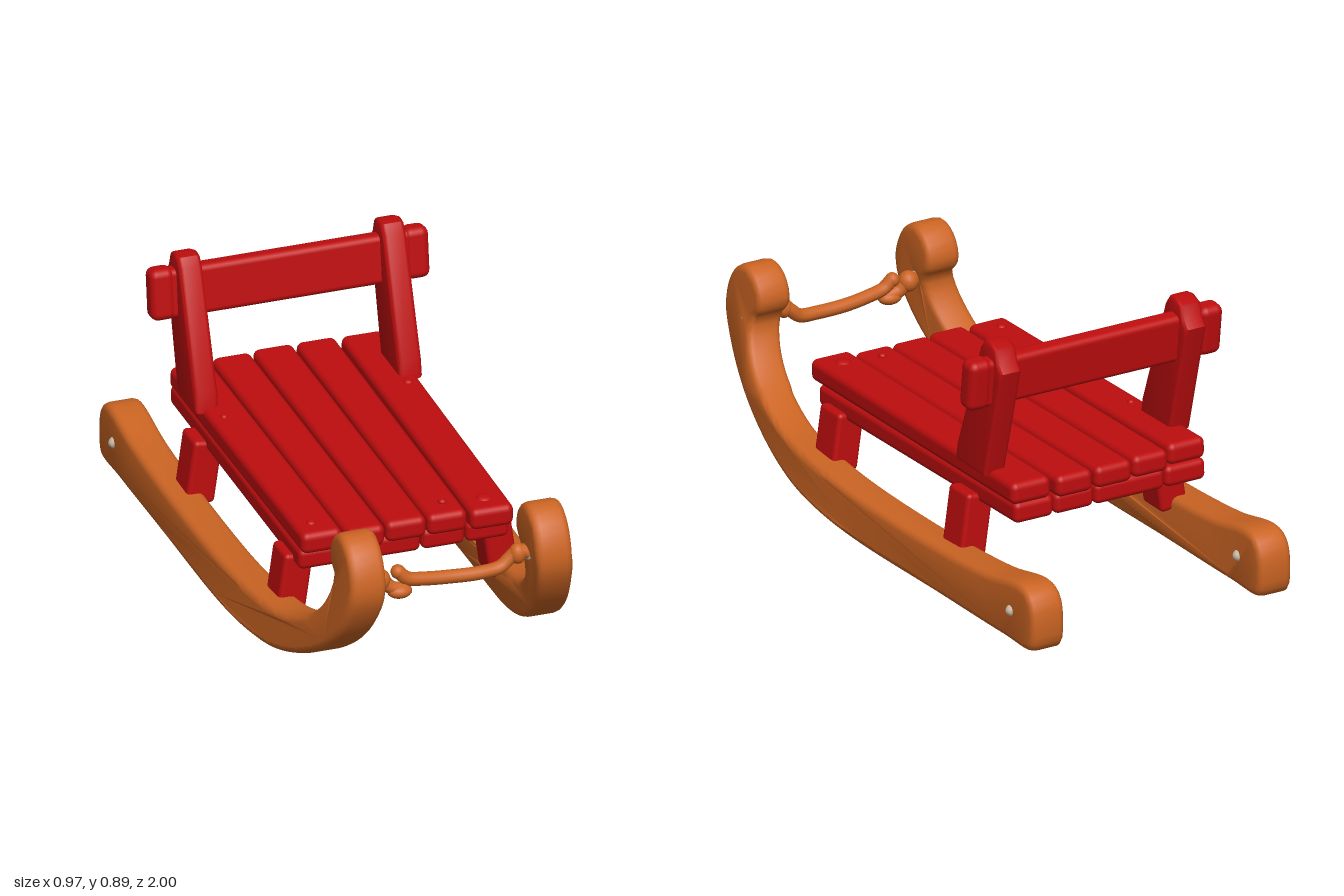
import * as THREE from 'three';
import { toCreasedNormals } from 'three/addons/utils/BufferGeometryUtils.js';
import { RoundedBoxGeometry } from 'three/addons/geometries/RoundedBoxGeometry.js';

const material = (name, color) => {
  const m = new THREE.MeshStandardMaterial({ color });
  m.name = name;
  return m;
};

export function createModel() {
  const red = material('red paint', 0xbe0d0e);
  const wood = material('orange wood', 0xcb6423);
  const metal = material('pale bolt', 0xc9b9a4);
  const model = new THREE.Group();
  model.name = 'sled';

  const add = (name, geometry, mat, parent = model) => {
    const mesh = new THREE.Mesh(geometry, mat);
    mesh.name = name;
    parent.add(mesh);
    return mesh;
  };
  const block = (name, w, h, d, x, y, z, parent = model, r = 0.02) => {
    const mesh = add(name, new RoundedBoxGeometry(w, h, d, 3, r), red, parent);
    mesh.position.set(x, y, z);
    return mesh;
  };
  const knob = (name, mat, x, y, z, sx, sy, sz, parent = model) => {
    const mesh = add(name, new THREE.SphereGeometry(1, 16, 12), mat, parent);
    mesh.position.set(x, y, z);
    mesh.scale.set(sx, sy, sz);
    return mesh;
  };

  // Side outline given as [z, y], extruded across x with a soft edge
  const sideExtrude = (points, width, bevel) => {
    const geometry = new THREE.ExtrudeGeometry(new THREE.Shape(points), {
      depth: width - 2 * bevel, bevelThickness: bevel, bevelSize: bevel,
      bevelOffset: -bevel, bevelSegments: 3, steps: 1,
    });
    geometry.translate(0, 0, bevel - width / 2);
    return geometry.rotateY(-Math.PI / 2);
  };

  // Runners: curled outline, leaning inward toward the curl
  const runnerOutline = [
    [-0.98, 0.015], [-0.8, 0.008], [-0.4, 0.005], [0, 0.0], [0.3, 0.01], [0.5, 0.04], [0.7, 0.115],
    [0.85, 0.21], [0.95, 0.32], [1.0, 0.43], [0.985, 0.52], [0.94, 0.58], [0.88, 0.603],
    [0.82, 0.575], [0.79, 0.52], [0.795, 0.475], [0.828, 0.445], [0.832, 0.41], [0.81, 0.355], [0.76, 0.295],
    [0.68, 0.24], [0.55, 0.19], [0.4, 0.17], [0, 0.155], [-0.4, 0.16], [-0.7, 0.18],
    [-0.93, 0.212], [-0.985, 0.17], [-0.995, 0.05],
  ];
  const curve = new THREE.CatmullRomCurve3(
    runnerOutline.map(([z, y]) => new THREE.Vector3(z, y, 0)), true, 'centripetal');
  const outline = curve.getSpacedPoints(180).slice(0, -1).map((p) => new THREE.Vector2(p.x, p.y));
  const runnerX = (y, z) => {
    const forward = z > 0 ? z * z : 0;
    const upward = z > 0.7 ? Math.min(y / 0.45, 1) : 0;
    return 0.41 - 0.105 * Math.max(forward, upward);
  };

  for (const side of [1, -1]) {
    const label = side > 0 ? 'left' : 'right';
    const geometry = sideExtrude(outline, 0.118, 0.022);
    const pos = geometry.attributes.position;
    for (let i = 0; i < pos.count; i++) {
      pos.setX(i, pos.getX(i) + side * runnerX(pos.getY(i), pos.getZ(i)));
    }
    add(label + 'Runner', toCreasedNormals(geometry, 0.9), wood);

    // Bolts through the tail and the curl
    knob(label + 'TailBolt', metal, side * 0.41, 0.11, -0.86, 0.074, 0.031, 0.031);
    knob(label + 'CurlBolt', metal, side * 0.306, 0.43, 0.88, 0.068, 0.029, 0.029);

    // Legs, splayed outward down to the runners
    for (const [name, x, z, top] of [['FrontLeg', 0.337, 0.365, 0.31], ['RearLeg', 0.35, -0.415, 0.33]]) {
      const leg = block(label + name, 0.095, top - 0.12, 0.118, side * x, (top + 0.12) / 2, z, model, 0.015);
      leg.rotation.z = side * 0.14;
    }

    // Backrest posts, leaning back
    const post = [[-0.375, 0.42], [-0.385, 0.48], [-0.522, 0.85], [-0.545, 0.88], [-0.575, 0.885],
      [-0.615, 0.87], [-0.63, 0.825], [-0.652, 0.8], [-0.642, 0.765], [-0.55, 0.42]];
    const postGeometry = sideExtrude(post.map((p) => new THREE.Vector2(...p)), 0.077, 0.014);
    add(label + 'BackrestPost', toCreasedNormals(postGeometry, 0.7), red).position.x = side * 0.334;
  }

  // Backrest board with slightly swollen ends
  const backrest = new THREE.Group();
  backrest.name = 'backrest';
  backrest.position.set(0, 0.753, -0.573);
  backrest.rotation.x = -0.12;
  model.add(backrest);
  block('backrestBoard', 0.9, 0.162, 0.06, 0, 0, 0, backrest);
  for (const side of [1, -1]) {
    block('backrestEnd', 0.08, 0.168, 0.072, side * 0.417, 0.003, 0, backrest, 0.025);
  }

  // Seat: upper slats over a lower layer, tilted a little
  const seat = new THREE.Group();
  seat.name = 'seat';
  seat.position.set(0, 0.394, -0.09);
  seat.rotation.x = 0.021;
  model.add(seat);
  const slats = [ // x centre, width, back z, front z, yaw
    [-0.281, 0.134, -0.68, 0.505, 0.006], [-0.141, 0.127, -0.7, 0.52, 0.002], [-0.003, 0.132, -0.71, 0.51, 0],
    [0.135, 0.129, -0.71, 0.51, -0.005], [0.279, 0.141, -0.695, 0.53, -0.012],
  ];
  slats.forEach(([x, w, back, front, yaw], i) => {
    const dip = i === 0 || i === 4 ? 0 : -0.004;
    const slat = block('seatSlat', w, 0.072, front - back, x, dip, (front + back) / 2 + 0.09, seat, 0.022);
    slat.rotation.y = yaw;
  });
  for (const [x0, x1] of [[-0.345, -0.2], [-0.196, 0.055], [0.059, 0.2], [0.204, 0.345]]) {
    block('lowerSlat', x1 - x0, 0.07, 1.17, (x0 + x1) / 2, -0.066, -0.015, seat, 0.02);
  }
  // Painted-over nail heads
  for (const [x, z, r] of [[0.27, 0.45, 0.026], [-0.29, 0.43, 0.016], [0.14, 0.43, 0.014],
    [0.31, -0.34, 0.016], [-0.305, -0.31, 0.012]]) {
    knob('nailHead', red, x, 0.034, z + 0.09, r, 0.01, r, seat);
  }

  // Rope between the curls, knotted at one end
  const ropePart = (name, points, radius) => {
    const path = new THREE.CatmullRomCurve3(points.map((p) => new THREE.Vector3(...p)));
    add(name, new THREE.TubeGeometry(path, 40, radius, 10), wood);
  };
  ropePart('rope', [[-0.168, 0.443, 0.875], [-0.14, 0.415, 0.88], [-0.08, 0.402, 0.877], [0, 0.393, 0.874],
    [0.1, 0.39, 0.876], [0.17, 0.397, 0.872], [0.205, 0.425, 0.87], [0.23, 0.445, 0.875], [0.27, 0.43, 0.88]], 0.022);
  ropePart('ropeEnd', [[-0.27, 0.425, 0.88], [-0.22, 0.42, 0.875], [-0.195, 0.395, 0.88], [-0.15, 0.38, 0.885]], 0.022);
  knob('knot', wood, -0.165, 0.378, 0.885, 0.04, 0.023, 0.03);
  knob('knotTip', wood, -0.168, 0.44, 0.875, 0.022, 0.023, 0.023);
  knob('ropeCollar', wood, -0.225, 0.422, 0.875, 0.032, 0.034, 0.032);
  knob('ropeCollar', wood, 0.225, 0.435, 0.875, 0.027, 0.034, 0.028);

  return model;
}
